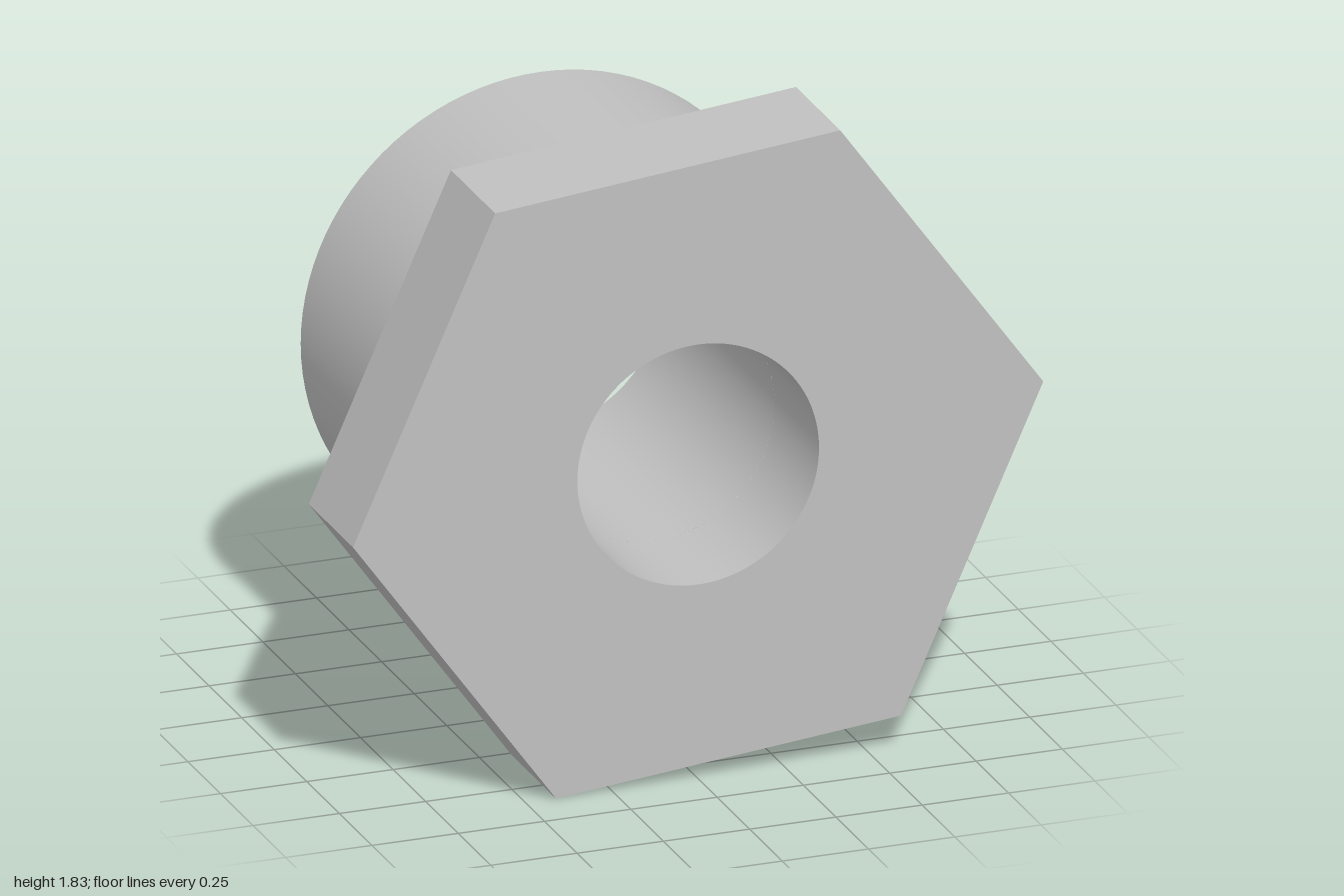
import * as THREE from 'three';
import { toCreasedNormals } from 'three/addons/utils/BufferGeometryUtils.js';

const CENTER_Y = 0.917;
const HEX_RADIUS = 1.005, HEX_TURN = 0.1015;
const BARREL_RADIUS = 0.695, BORE_RADIUS = 0.35;
const FRONT = 0.605, SHOULDER = 0.265, BACK = -0.605;
const SEGMENTS = 96;

export function createModel() {
  const group = new THREE.Group();
  group.name = 'hexBushing';
  const metal = new THREE.MeshStandardMaterial({ color: 0xc0c0c0 });
  metal.name = 'light grey metal';

  function add(name, geometry) {
    const mesh = new THREE.Mesh(toCreasedNormals(geometry, 0.5), metal);
    mesh.name = name;
    mesh.position.y = CENTER_Y;
    group.add(mesh);
  }

  // Hexagonal head, slightly turned, with the bore through it
  const corners = [];
  for (let i = 0; i < 6; i++) {
    const a = HEX_TURN + (i * Math.PI) / 3;
    corners.push(new THREE.Vector2(HEX_RADIUS * Math.cos(a), HEX_RADIUS * Math.sin(a)));
  }
  const hex = new THREE.Shape(corners);
  hex.holes.push(new THREE.Path().absarc(0, 0, BORE_RADIUS, 0, Math.PI * 2, true));
  const head = new THREE.ExtrudeGeometry(hex, {
    depth: FRONT - SHOULDER, bevelEnabled: false, curveSegments: SEGMENTS,
  });
  head.translate(0, 0, SHOULDER);
  add('hexHead', head);

  // Hollow barrel: outer wall, rear ring and bore wall
  const profile = [
    [BARREL_RADIUS, -SHOULDER], [BARREL_RADIUS, -BACK],
    [BORE_RADIUS, -BACK], [BORE_RADIUS, -SHOULDER],
  ].map(([r, y]) => new THREE.Vector2(r, y));
  const barrel = new THREE.LatheGeometry(profile, SEGMENTS);
  barrel.rotateX(-Math.PI / 2);
  add('barrel', barrel);

  return group;
}
